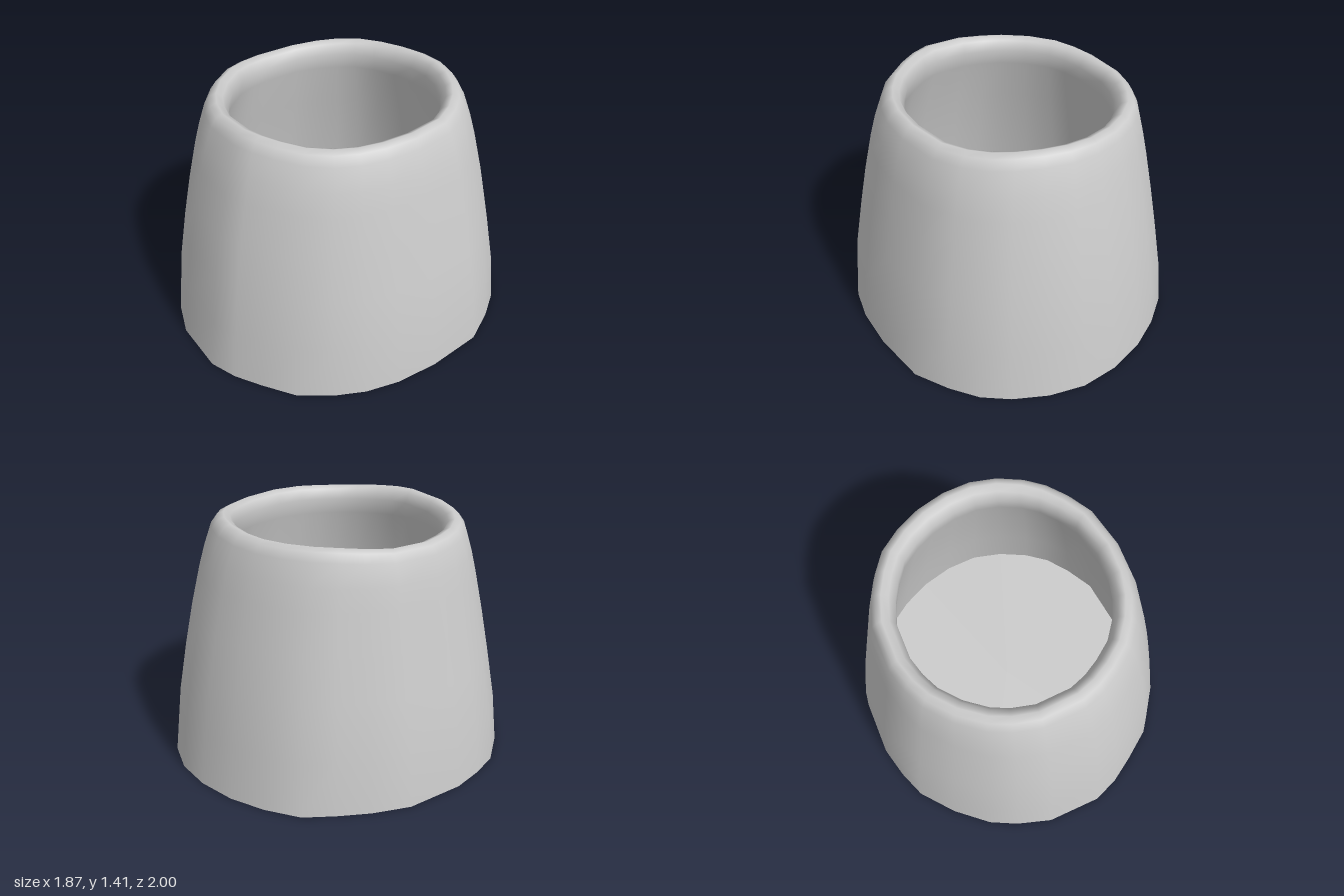
import * as THREE from 'three';

// Uneven hand-shaped footprint, x and z, counter-clockwise from above
const OUTLINE = [
  [0.93, 0], [0.92, -0.33], [0.83, -0.53], [0.73, -0.69], [0.6, -0.81], [0.42, -0.92],
  [0.22, -0.99], [0, -1], [-0.23, -0.96], [-0.43, -0.88], [-0.61, -0.77], [-0.72, -0.62],
  [-0.82, -0.46], [-0.91, -0.26], [-0.94, 0.08], [-0.91, 0.27], [-0.86, 0.44], [-0.72, 0.64],
  [-0.55, 0.81], [-0.4, 0.9], [-0.2, 0.98], [0.13, 1], [0.29, 0.95], [0.44, 0.87],
  [0.62, 0.76], [0.75, 0.6], [0.84, 0.44], [0.9, 0.25],
];

// Cross-sections: height, scale in x, scale in z
const OUTER = [
  [0, 1, 1], [0.3, 0.97, 0.963], [0.6, 0.91, 0.912], [0.85, 0.86, 0.86], [1.08, 0.812, 0.802],
  [1.2, 0.785, 0.765], [1.32, 0.748, 0.722], [1.365, 0.715, 0.69],
];
const LIP = [[1.382, 0.68, 0.652], [1.365, 0.64, 0.615], [1.31, 0.612, 0.588]];
const INNER = [[1.22, 0.625, 0.605], [0.95, 0.70, 0.69], [0.5, 0.80, 0.79], [0.1, 0.87, 0.86]];

// One closed ring; the upper rings drift sideways and rise and fall
function ring([y, sx, sz]) {
  const t = Math.pow(y / 1.38, 5);
  return OUTLINE.map(([ox, oz]) => {
    // upper rings become rounder than the footprint
    const a = Math.atan2(oz, ox), mix = 0.6 * t;
    const x = sx * THREE.MathUtils.lerp(ox, 0.94 * Math.cos(a), mix) - 0.02 * t;
    const z = sz * THREE.MathUtils.lerp(oz, Math.sin(a), mix) - 0.012 * t;
    const lift = t * (0.025 * x + 0.05 * z * z + 0.006 * Math.sin(5 * a + 1));
    return [x, y + lift, z];
  });
}

function makeGeometry(points, index) {
  const geometry = new THREE.BufferGeometry();
  geometry.setAttribute('position', new THREE.Float32BufferAttribute(points.flat(), 3));
  geometry.setIndex(index);
  geometry.computeVertexNormals();
  return geometry;
}

// Smooth skin through a series of rings
function loft(sections) {
  const n = OUTLINE.length, index = [];
  for (let i = 0; i < sections.length - 1; i++) {
    for (let k = 0; k < n; k++) {
      const a = i * n + k, b = i * n + (k + 1) % n;
      index.push(a, b, b + n, a, b + n, a + n);
    }
  }
  return makeGeometry(sections.flatMap(ring), index);
}

// Flat disc closing a ring, facing up or down
function disc(section, up) {
  const n = OUTLINE.length, index = [];
  for (let k = 0; k < n; k++) {
    const next = (k + 1) % n;
    index.push(n, up ? k : next, up ? next : k);
  }
  return makeGeometry([...ring(section), [0, section[0], 0]], index);
}

export function createModel() {
  const group = new THREE.Group();
  group.name = 'taperedPot';
  const material = new THREE.MeshStandardMaterial({ color: 0xcccccc });
  const add = (name, geometry) => {
    const mesh = new THREE.Mesh(geometry, material);
    mesh.name = name;
    group.add(mesh);
  };

  // Outer wall, rolled lip and hollow inside as one continuous skin
  add('wall', loft([...OUTER, ...LIP, ...INNER]));
  add('innerFloor', disc(INNER[INNER.length - 1], true));
  add('base', disc(OUTER[0], false));
  return group;
}
